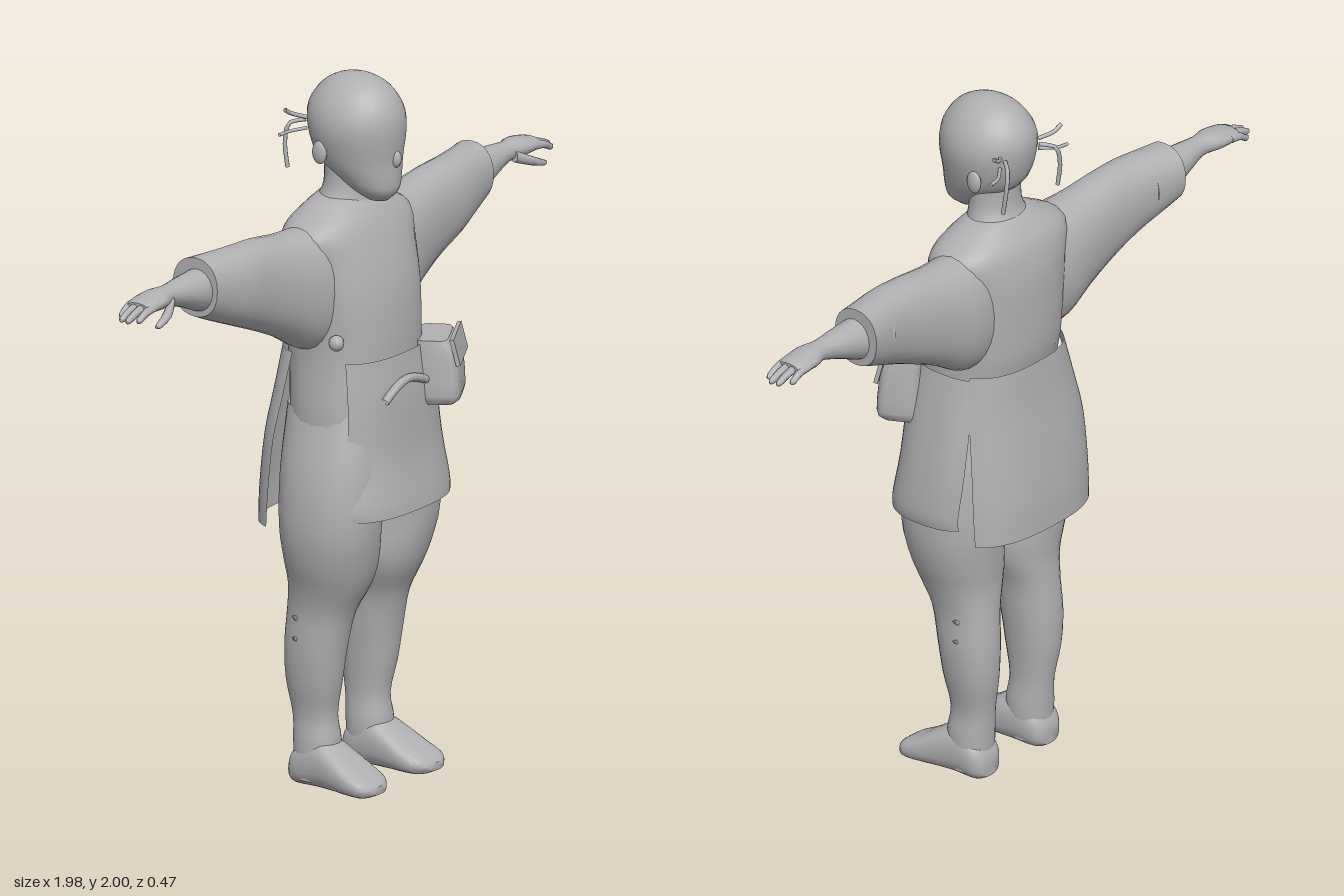
import * as THREE from 'three';
import { toCreasedNormals } from 'three/addons/utils/BufferGeometryUtils.js';

const clay = new THREE.MeshStandardMaterial({ color: 0xb0b0b3, side: THREE.DoubleSide });
clay.name = 'grey clay';

// Axis along which a loft runs, followed by the two axes of its cross-section.
const AXES = { x: [0, 1, 2], y: [1, 0, 2], z: [2, 0, 1] };

// Smooth loft. Each row: [position on axis, min and max of first cross axis, min and max of second].
function loft(rows, { axis = 'y', side = 1, seg = 28, power = 1, from = 0, to = Math.PI * 2, sub = 3 } = {}) {
  const open = to - from < 6.28;
  const first = new THREE.CatmullRomCurve3(rows.map(r => new THREE.Vector3(r[0], r[1], r[2])), false, 'catmullrom');
  const second = new THREE.CatmullRomCurve3(rows.map(r => new THREE.Vector3(r[0], r[3], r[4])), false, 'catmullrom');
  const steps = (rows.length - 1) * sub;
  const cols = open ? seg + 1 : seg;
  const order = AXES[axis];
  const turn = axis === 'y' ? 1 : -1;
  const pos = [], idx = [];
  const put = (t, a, b) => {
    const p = [0, 0, 0];
    p[order[0]] = t; p[order[1]] = a; p[order[2]] = b;
    pos.push(p[0] * side, p[1], p[2]);
  };
  const round = v => Math.sign(v) * Math.abs(v) ** power;
  const tri = (a, b, c) => (side > 0 ? idx.push(a, b, c) : idx.push(a, c, b));
  for (let i = 0; i <= steps; i++) {
    const p = first.getPoint(i / steps), q = second.getPoint(i / steps);
    for (let j = 0; j < cols; j++) {
      const w = from + (to - from) * j / seg;
      put(p.x, (p.y + p.z) / 2 + (p.z - p.y) / 2 * round(Math.cos(w)),
        (q.y + q.z) / 2 + (q.z - q.y) / 2 * round(Math.sin(w)) * turn);
    }
  }
  for (let i = 0; i < steps; i++) {
    for (let j = 0; j < seg; j++) {
      const a = i * cols + j, b = i * cols + (j + 1) % cols;
      tri(a, a + cols, b);
      tri(b, a + cols, b + cols);
    }
  }
  if (!open) {
    // end caps
    [[0, rows[0]], [steps, rows[rows.length - 1]]].forEach(([i, r]) => {
      const centre = pos.length / 3;
      put(r[0], (r[1] + r[2]) / 2, (r[3] + r[4]) / 2);
      for (let j = 0; j < seg; j++) {
        const a = i * cols + j, b = i * cols + (j + 1) % cols;
        if (i) tri(centre, b, a); else tri(centre, a, b);
      }
    });
  }
  const geo = new THREE.BufferGeometry();
  geo.setAttribute('position', new THREE.Float32BufferAttribute(pos, 3));
  geo.setIndex(idx);
  return toCreasedNormals(geo, 0.9);
}

// Symmetric row in x for upright parts.
const sym = rows => rows.map(([y, w, z0, z1]) => [y, -w, w, z0, z1]);

function tube(points, radius) {
  const curve = new THREE.CatmullRomCurve3(points.map(p => new THREE.Vector3(...p)));
  return new THREE.TubeGeometry(curve, 8, radius, 8);
}

export function createModel() {
  const model = new THREE.Group();
  model.name = 'figure';
  const add = (name, geometry, parent = model) => {
    const mesh = new THREE.Mesh(geometry, clay);
    mesh.name = name;
    parent.add(mesh);
    return mesh;
  };

  // Head and neck
  add('head', loft(sym([
    [1.652, 0.025, 0.03, 0.09], [1.68, 0.06, -0.01, 0.117], [1.72, 0.085, -0.07, 0.122],
    [1.77, 0.107, -0.125, 0.122], [1.85, 0.125, -0.15, 0.13], [1.91, 0.115, -0.148, 0.122],
    [1.96, 0.083, -0.115, 0.09], [1.988, 0.045, -0.07, 0.045], [2.0, 0.008, -0.02, 0],
  ])));
  const nose = add('nose', new THREE.SphereGeometry(0.02, 12, 8));
  nose.position.set(0, 1.775, 0.117);
  nose.scale.set(0.8, 1.3, 0.9);
  add('neck', loft(sym([
    [1.58, 0.13, -0.14, 0.06], [1.64, 0.1, -0.12, 0.035], [1.69, 0.08, -0.1, 0.03], [1.78, 0.08, -0.1, 0.03],
  ])));

  // Tunic body down to the hips
  add('tunic', loft(sym([
    [1.66, 0.088, -0.11, 0.02], [1.625, 0.16, -0.14, 0.05], [1.58, 0.23, -0.165, 0.075],
    [1.5, 0.22, -0.183, 0.105], [1.4, 0.21, -0.187, 0.13], [1.28, 0.2, -0.185, 0.14],
    [1.2, 0.2, -0.17, 0.14], [1.05, 0.21, -0.16, 0.145], [0.9, 0.2, -0.13, 0.13],
  ].reverse()), { power: 0.85 }));

  // Front skirt, wrapped round the left hip
  add('frontSkirt', loft([
    [0.79, -0.235, 0.27, -0.17, 0.19], [0.83, -0.24, 0.275, -0.17, 0.185], [0.95, -0.22, 0.262, -0.18, 0.165],
    [1.1, -0.212, 0.235, -0.18, 0.16], [1.23, -0.205, 0.205, -0.18, 0.145],
  ], { power: 0.75, from: -0.6, to: 2.6 }));
  // Back flap, hanging free and flaring outward
  add('backFlap', loft([
    [0.75, -0.265, 0.24, -0.228, 0.1], [0.85, -0.268, 0.24, -0.225, 0.12], [1.0, -0.265, 0.23, -0.208, 0.13],
    [1.12, -0.24, 0.22, -0.192, 0.14], [1.24, -0.205, 0.205, -0.182, 0.145],
  ], { power: 0.75, from: Math.PI + 0.3, to: Math.PI * 2 - 0.45 }));

  // Belt pouch with a flap, and the belt tie
  const pouch = new THREE.Group();
  pouch.name = 'beltPouch';
  pouch.position.set(0.175, 1.155, 0.14);
  pouch.rotation.y = 0.5;
  model.add(pouch);
  add('pouchBody', loft([
    [-0.095, -0.08, 0.08, -0.06, 0.05], [-0.07, -0.09, 0.09, -0.06, 0.065],
    [0.04, -0.085, 0.085, -0.06, 0.055], [0.085, -0.08, 0.08, -0.06, 0.03],
  ], { power: 0.4 }), pouch);
  const lid = add('pouchLid', new THREE.BoxGeometry(0.175, 0.075, 0.012), pouch);
  lid.position.set(0, 0.055, 0.052);
  lid.rotation.x = -0.25;
  add('beltTie', tube([[-0.1, 1.115, 0.155], [-0.06, 1.145, 0.16], [0, 1.16, 0.16], [0.1, 1.13, 0.155]], 0.012));
  const knot = add('sideKnot', new THREE.SphereGeometry(0.022, 10, 8));
  knot.position.set(-0.195, 1.29, 0.06);

  for (const side of [1, -1]) {
    const prefix = side > 0 ? 'left' : 'right';
    const opt = { axis: 'x', side };
    const at = p => [p[0] * side, p[1], p[2]];

    // Wide sleeve hanging from the arm
    add(prefix + 'Sleeve', loft([
      [0.1, 1.25, 1.6, -0.15, 0.06], [0.2, 1.255, 1.6, -0.16, 0.05], [0.3, 1.31, 1.605, -0.15, 0.03],
      [0.4, 1.355, 1.618, -0.142, 0.015], [0.5, 1.395, 1.622, -0.142, 0.01],
      [0.6, 1.435, 1.622, -0.155, -0.008], [0.645, 1.455, 1.622, -0.163, -0.015],
    ], { ...opt, power: 0.9 }));

    // Forearm and palm
    add(prefix + 'Forearm', loft([
      [0.55, 1.45, 1.6, -0.15, -0.03], [0.64, 1.47, 1.592, -0.138, -0.03], [0.72, 1.502, 1.588, -0.125, -0.042],
      [0.79, 1.525, 1.583, -0.112, -0.052], [0.84, 1.527, 1.583, -0.128, -0.04],
      [0.9, 1.532, 1.572, -0.13, -0.04], [0.92, 1.54, 1.565, -0.12, -0.05],
    ], { ...opt, seg: 20 }));
    // Fingers and thumb
    [0.955, 0.985, 0.988, 0.97].forEach((tip, i) => {
      const z = -0.12 + i * 0.023;
      add(prefix + 'Finger' + (i + 1), loft([
        [0.88, 1.54, 1.565, z - 0.012, z + 0.012], [(0.88 + tip) / 2, 1.535, 1.558, z - 0.011, z + 0.011],
        [tip - 0.012, 1.522, 1.542, z - 0.009, z + 0.009], [tip, 1.528, 1.535, z - 0.002, z + 0.002],
      ], { ...opt, seg: 10 }));
    });
    add(prefix + 'Thumb', loft([
      [0.8, 1.525, 1.56, -0.07, -0.045], [0.85, 1.508, 1.535, -0.05, -0.022],
      [0.895, 1.497, 1.515, -0.04, -0.02], [0.91, 1.5, 1.508, -0.034, -0.026],
    ], { ...opt, seg: 10 }));

    // Baggy trouser leg narrowing into the calf
    add(prefix + 'Leg', loft([
      [0.02, 0.068, 0.18, -0.115, 0.0], [0.12, 0.062, 0.183, -0.12, 0.012], [0.2, 0.07, 0.175, -0.125, 0.002],
      [0.3, 0.064, 0.195, -0.14, 0.02], [0.4, 0.055, 0.205, -0.142, 0.035], [0.5, 0.045, 0.205, -0.135, 0.058],
      [0.58, 0.015, 0.222, -0.13, 0.098], [0.65, 0.004, 0.245, -0.135, 0.122], [0.75, 0.012, 0.262, -0.142, 0.14],
      [0.9, -0.01, 0.25, -0.15, 0.145], [1.08, -0.01, 0.2, -0.15, 0.13],
    ], { side, power: 0.9 }));
    // Shoe
    add(prefix + 'Shoe', loft([
      [-0.125, 0.09, 0.16, 0.01, 0.07], [-0.1, 0.068, 0.182, 0, 0.11], [-0.03, 0.06, 0.188, 0, 0.14],
      [0.03, 0.058, 0.196, 0, 0.115], [0.09, 0.058, 0.203, 0, 0.078], [0.135, 0.07, 0.198, 0.002, 0.055],
      [0.162, 0.105, 0.165, 0.012, 0.035],
    ], { axis: 'z', side, power: 0.75 }));
    // Leg wrap ties
    for (const y of [0.43, 0.49]) {
      const tie = add(prefix + 'LegTie', new THREE.ConeGeometry(0.012, 0.04, 6));
      tie.position.set(0.205 * side, y, -0.07);
      tie.rotation.z = -1.1 * side;
    }

    // Thin hair strands behind the ear
    add(prefix + 'HairStrand', tube([[0.07, 1.86, -0.13], [0.1, 1.85, -0.165], [0.112, 1.8, -0.17], [0.114, 1.73, -0.16]].map(at), 0.006));
    add(prefix + 'HairTuft', tube([[0.08, 1.87, -0.12], [0.115, 1.885, -0.145], [0.14, 1.9, -0.15]].map(at), 0.006));
    add(prefix + 'HairWisp', tube([[0.08, 1.84, -0.12], [0.125, 1.835, -0.15], [0.16, 1.833, -0.155]].map(at), 0.005));
    // Ear
    const ear = add(prefix + 'Ear', new THREE.SphereGeometry(0.03, 12, 8));
    ear.position.set(0.112 * side, 1.79, -0.055);
    ear.scale.set(0.4, 1.1, 0.8);
  }
  return model;
}
